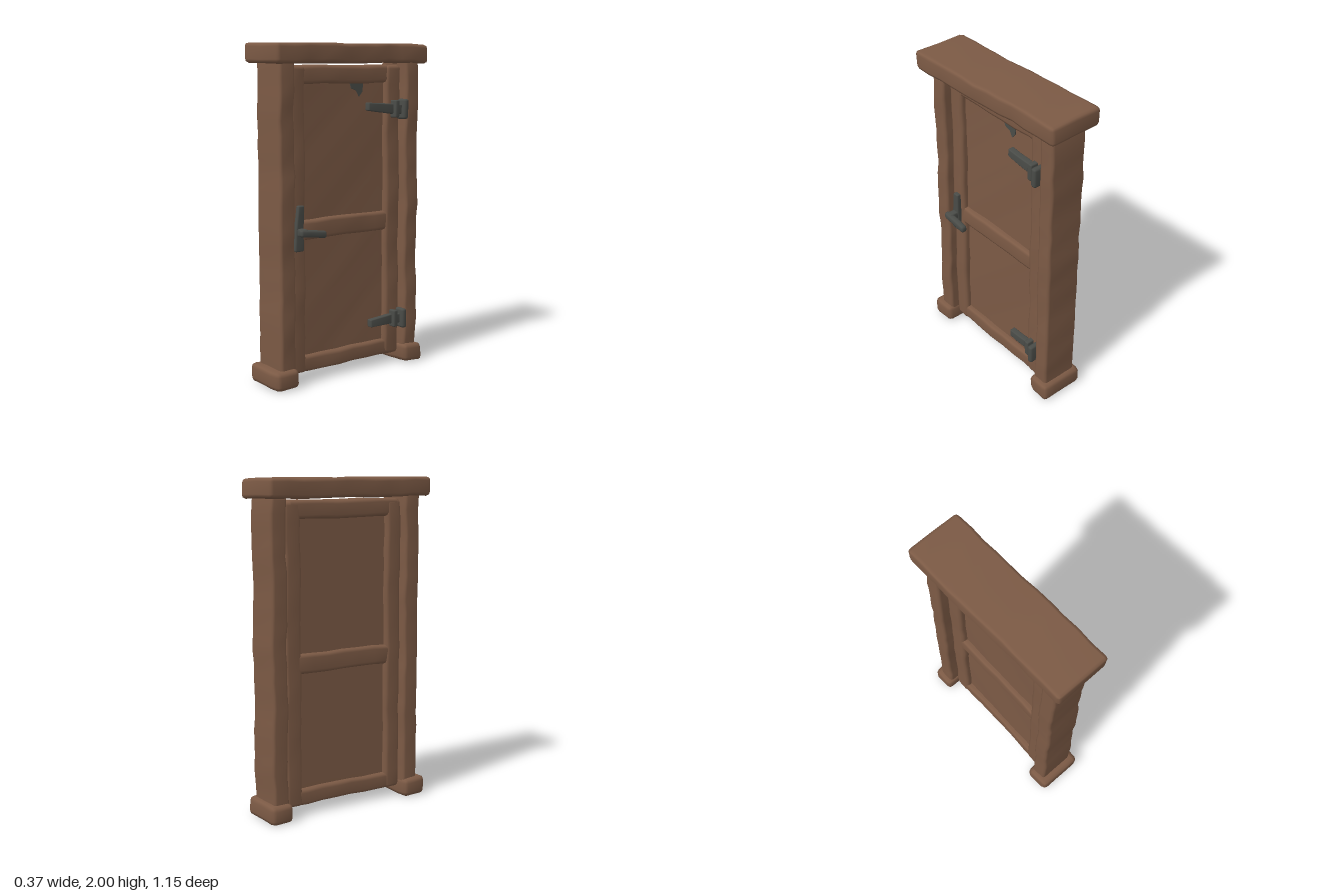
import * as THREE from 'three';
import { mergeVertices } from 'three/addons/utils/BufferGeometryUtils.js';

const wood = new THREE.MeshStandardMaterial({ color: 0x7c5a45 });
wood.name = 'brown wood';
const iron = new THREE.MeshStandardMaterial({ color: 0x4a4c48 });
iron.name = 'dark iron';

// Smooth, repeatable waviness for hand-carved surfaces
const wave = (a, b, s) => Math.sin(a * 9 + s) * 0.5 + Math.sin(a * 23 + b * 5 + s * 2.3) * 0.35 + Math.sin(a * 41 + s * 4.1) * 0.15;

// Rounded, subdivided block from min to max corners; rings sit close to each edge
function block(name, material, min, max, { r = 0.02, wobble = 0.004, seed = 0, step = 0.09, shape } = {}) {
  const size = max.map((v, i) => v - min[i]);
  const centre = max.map((v, i) => (v + min[i]) / 2);
  const seg = size.map(s => Math.max(3, Math.round(s / step)));
  let g = new THREE.BoxGeometry(...size, ...seg);
  g.deleteAttribute('normal');
  g.deleteAttribute('uv');
  g = mergeVertices(g);
  const pos = g.attributes.position;
  const p = new THREE.Vector3(), inner = new THREE.Vector3();
  for (let i = 0; i < pos.count; i++) {
    p.fromBufferAttribute(pos, i);
    for (let k = 0; k < 3; k++) {
      const h = size[k] / 2, n = seg[k];
      const row = Math.round((p.getComponent(k) / size[k] + 0.5) * n);
      const c = row === 0 ? -h : row === n ? h : (h - r) * (2 * (row - 1) / (n - 2) - 1);
      p.setComponent(k, c);
      inner.setComponent(k, THREE.MathUtils.clamp(c, r - h, h - r));
    }
    p.sub(inner);
    if (p.length() > r) p.setLength(r);
    p.add(inner).add(new THREE.Vector3(...centre));
    const { x, y, z } = p;
    p.x += wobble * wave(y + z, x, seed);
    p.y += wobble * wave(z * 1.3 + x, y, seed + 2);
    p.z += wobble * wave(y * 1.1, x, seed + 4);
    if (shape) shape(p);
    pos.setXYZ(i, p.x, p.y, p.z);
  }
  g.computeVertexNormals();
  const mesh = new THREE.Mesh(g, material);
  mesh.name = name;
  return mesh;
}

// Strap hinge on the door's +x side, centred at height y
function hinge(y, tip, tilt) {
  const group = new THREE.Group();
  group.name = 'hinge';
  const opts = { r: 0.008, wobble: 0.002, step: 0.04, seed: y };
  group.add(
    block('hingeStrap', iron, [0.06, y - 0.032, -0.36], [0.1, y + 0.032, tip], {
      ...opts, shape: p => {
        const t = (p.z + 0.36) / (tip + 0.36);
        p.y = y + (p.y - y) * (1 - 0.25 * t) + tilt * t;
        p.x += 0.015 * t * (1 - t);
      },
    }),
    block('hingeCollar', iron, [0.06, y - 0.052, -0.375], [0.125, y + 0.055, -0.342], opts),
    block('hingeKnuckle', iron, [0.07, y - 0.062, -0.43], [0.148, y + 0.062, -0.393], { ...opts, r: 0.014 }),
    block('hingePin', iron, [0.06, y - 0.03, -0.41], [0.12, y + 0.03, -0.35], opts)
  );
  return group;
}

export function createModel() {
  const model = new THREE.Group();
  model.name = 'door';

  // Lintel, slightly skewed in plan with worn ends
  model.add(block('lintel', wood, [-0.172, 1.885, -0.572], [0.172, 2, 0.572], {
    r: 0.022, wobble: 0.006, seed: 1.5, shape: p => {
      p.x += 0.004 + 0.03 * p.z;
      p.y = Math.min(p.y, 2);
    },
  }));

  // Posts and feet on both sides
  for (const [side, z0, z1, f0, f1] of [['left', 0.405, 0.51, 0.4, 0.56], ['right', -0.535, -0.432, -0.565, -0.42]]) {
    const seed = side === 'left' ? 0.6 : 3.1;
    model.add(block(side + 'Post', wood, [-0.12, 0.03, z0], [0.118, 1.9, z1], {
      r: 0.018, wobble: 0.006, seed, step: 0.075,
    }));
    model.add(block(side + 'Foot', wood, [-0.15, 0, f0], [0.148, 0.115, f1], {
      r: 0.028, wobble: 0.006, seed, step: 0.05, shape: p => {
        p.y = Math.max(p.y, 0);
      },
    }));
  }

  // Door leaf: thin panel inside a raised frame, the same on both faces
  const leaf = new THREE.Group();
  leaf.name = 'doorLeaf';
  model.add(leaf);
  leaf.add(block('panel', wood, [-0.038, 0.09, -0.39], [0.038, 1.85, 0.38], { r: 0.01, wobble: 0.003, seed: 2 }));
  const frame = [
    ['stile', 0.06, 1.87, 0.3, 0.405],
    ['stile', 0.06, 1.87, -0.422, -0.31],
    ['topRail', 1.765, 1.872, -0.4, 0.39],
    ['middleRail', 0.86, 0.978, -0.36, 0.35],
    ['bottomRail', 0.06, 0.16, -0.4, 0.39],
  ];
  frame.forEach(([name, y0, y1, z0, z1], i) => {
    const d = i < 2 ? 0.075 : 0.07;
    leaf.add(block(name, wood, [-d, y0, z0], [d, y1, z1], { r: 0.022, wobble: 0.005, seed: i * 1.7 }));
  });

  // Dark worn chip below the top rail
  const chip = new THREE.Shape([[0.05, 1.768], [0.15, 1.768], [0.145, 1.715], [0.12, 1.685], [0.1, 1.72], [0.06, 1.735]]
    .map(([a, b]) => new THREE.Vector2(a, b)));
  const chipMesh = new THREE.Mesh(new THREE.ExtrudeGeometry(chip, { depth: 0.006, bevelEnabled: false }), iron);
  chipMesh.name = 'wornChip';
  chipMesh.rotation.y = Math.PI / 2;
  chipMesh.position.x = 0.038;
  leaf.add(chipMesh);

  // Hinges
  model.add(hinge(1.605, -0.15, 0.02), hinge(0.295, -0.175, -0.01));

  // Handle: leaning back plate, spindle and drooping lever
  const handle = new THREE.Group();
  handle.name = 'handle';
  model.add(handle);
  const opts = { r: 0.008, wobble: 0.002, step: 0.04 };
  handle.add(
    block('backPlate', iron, [0.06, 0.8, 0.33], [0.1, 1.07, 0.375], {
      ...opts, shape: p => {
        const t = (p.y - 0.93) / 0.14;
        p.z = 0.358 + (p.z - 0.353) * (1.2 - 0.25 * t) - 0.008 * t;
      },
    }),
    block('spindle', iron, [0.08, 0.893, 0.335], [0.15, 0.937, 0.378], opts),
    block('lever', iron, [0.122, 0.895, 0.21], [0.162, 0.937, 0.39], {
      ...opts, r: 0.012, shape: p => { p.y -= 0.02 * (0.39 - p.z) / 0.18; },
    })
  );
  return model;
}
